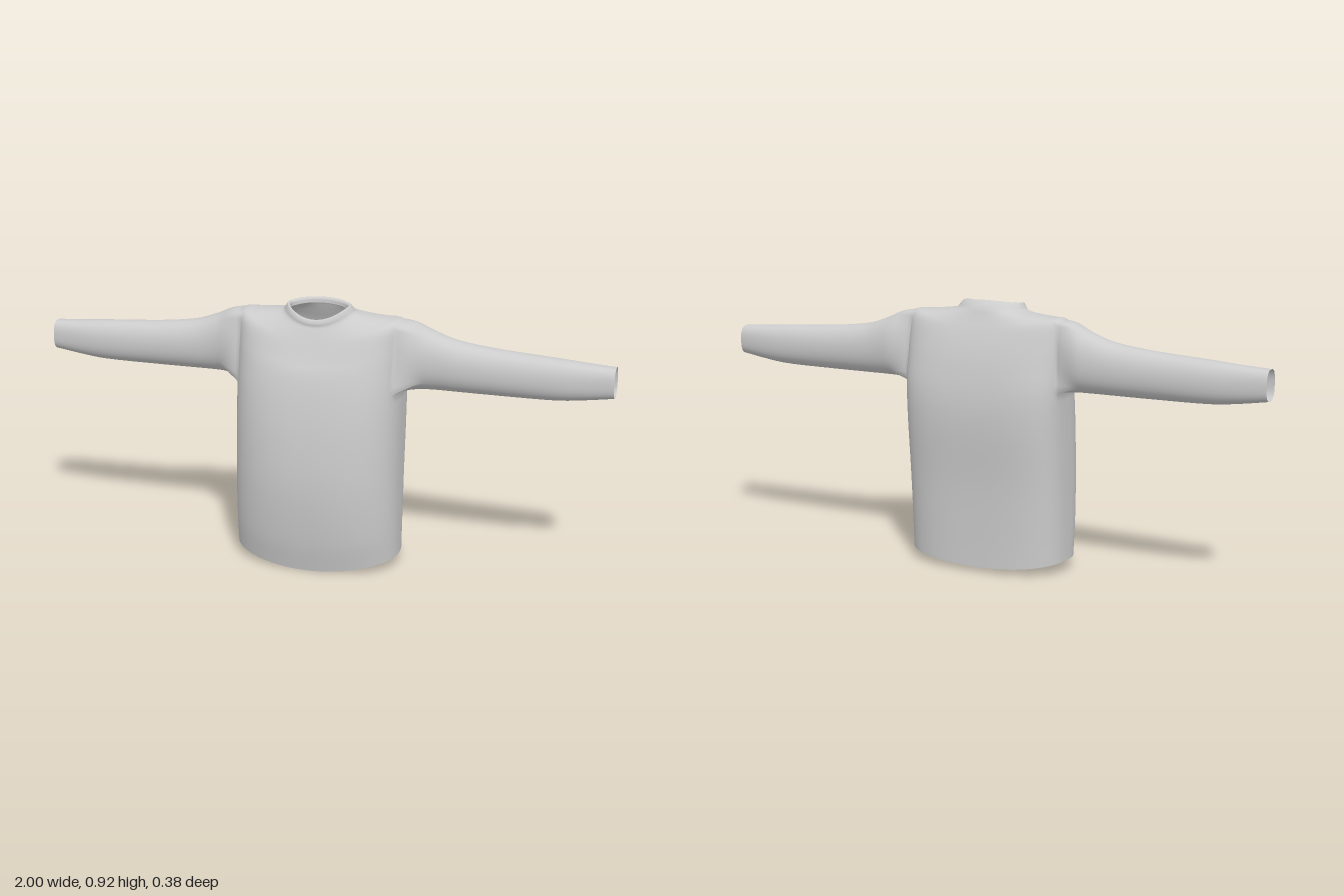
import * as THREE from 'three';

// Torso rings, hem to collar:
// [halfWidth, ySide, yFront, zFront, yBack, zBack, zSide, frontPower, backPower]
const TORSO = [
  [0.29, 0.04, 0.0, 0.15, 0.015, -0.167, 0, 2.3, 2.9],
  [0.29, 0.15, 0.12, 0.174, 0.12, -0.168, 0, 2.4, 3.1],
  [0.29, 0.32, 0.3, 0.19, 0.3, -0.173, -0.005, 2.4, 3.4],
  [0.29, 0.5, 0.47, 0.181, 0.49, -0.187, -0.02, 2.5, 3.5],
  [0.29, 0.63, 0.6, 0.161, 0.6, -0.185, -0.035, 2.6, 3.5], // underarm
  [0.29, 0.72, 0.69, 0.138, 0.7, -0.168, -0.042, 2.6, 3.2],
  [0.29, 0.8, 0.74, 0.114, 0.77, -0.148, -0.045, 2.6, 2.9],
  [0.285, 0.865, 0.785, 0.093, 0.82, -0.128, -0.045, 2.5, 2.6], // shoulder point
  [0.235, 0.873, 0.81, 0.081, 0.85, -0.114, -0.038, 2.4, 2.4],
  [0.175, 0.878, 0.832, 0.07, 0.872, -0.104, -0.025, 2.2, 2.3],
  [0.13, 0.885, 0.844, 0.064, 0.89, -0.096, -0.015, 2.2, 2.2], // collar base
  [0.117, 0.898, 0.855, 0.064, 0.906, -0.084, -0.01, 2.2, 2.2],
  [0.109, 0.909, 0.866, 0.059, 0.918, -0.068, -0.005, 2.2, 2.2], // collar rim
  [0.101, 0.905, 0.867, 0.053, 0.914, -0.058, -0.003, 2.2, 2.2],
  [0.1, 0.89, 0.857, 0.052, 0.9, -0.056, -0.003, 2.2, 2.2],
];
const ARM_LOW = 4, ARM_HIGH = 7; // torso keys that bound the armhole

// Sleeve sections: [x, yTop, yBottom, zFront, zBack, power]
const SLEEVE = [
  [0.29, 0.868, 0.63, 0.042, -0.132, 2.2],
  [0.34, 0.853, 0.632, 0.025, -0.126, 2.2],
  [0.4, 0.829, 0.633, 0.015, -0.121, 2.2],
  [0.47, 0.807, 0.633, 0.012, -0.117, 2.2],
  [0.6, 0.79, 0.633, 0.009, -0.112, 2.2],
  [0.8, 0.776, 0.635, 0.004, -0.105, 2.3],
  [0.9, 0.768, 0.645, -0.003, -0.098, 2.5],
  [1.0, 0.762, 0.66, -0.01, -0.088, 2.7],
];
const COLS = 96, SUB = 4, ARM_COLS = 7;

// Catmull-Rom interpolation through rows of keys
function sample(keys, t) {
  const last = keys.length - 1;
  const i = Math.min(Math.floor(t), last - 1), f = t - i;
  return keys[i].map((b, k) => {
    const c = keys[i + 1][k];
    const a = i > 0 ? keys[i - 1][k] : 2 * b - c;
    const d = i + 2 <= last ? keys[i + 2][k] : 2 * c - b;
    return b + 0.5 * f * (c - a + f * (2 * a - 5 * b + 4 * c - d + f * (3 * (b - c) + d - a)));
  });
}

// Point of a unit superellipse in the direction of an angle
function superPoint(angle, power) {
  const c = Math.cos(angle), s = Math.sin(angle);
  const r = Math.pow(Math.abs(c) ** power + Math.abs(s) ** power, -1 / power);
  return [c * r, s * r];
}

function torsoPoint(t, angle) {
  const [w, ySide, yFront, zFront, yBack, zBack, zSide, pFront, pBack] = sample(TORSO, t);
  const front = Math.sin(angle) >= 0;
  const [u, v] = superPoint(angle, front ? pFront : pBack);
  const yMid = front ? yFront : yBack, zMid = front ? zFront : zBack;
  return [u * w, ySide + (yMid - ySide) * (1 - u * u), zSide + (zMid - zSide) * Math.abs(v)];
}

function createSweaterGeometry() {
  const positions = [], indices = [];
  const add = (p) => positions.push(...p) / 3 - 1;
  const quad = (a, b, c, d) => indices.push(a, b, c, a, c, d);
  const rows = (TORSO.length - 1) * SUB;
  const low = ARM_LOW * SUB, high = ARM_HIGH * SUB;
  const at = (i, j) => i * COLS + ((j + COLS) % COLS);

  // Torso, shoulders and collar, leaving out both armholes
  for (let i = 0; i <= rows; i++) {
    for (let j = 0; j < COLS; j++) add(torsoPoint(i / SUB, (j / COLS) * Math.PI * 2));
  }
  const inArmhole = (i, j) => {
    const k = (j + ARM_COLS) % (COLS / 2);
    return i >= low && i < high && k < 2 * ARM_COLS;
  };
  for (let i = 0; i < rows; i++) {
    for (let j = 0; j < COLS; j++) {
      if (!inArmhole(i, j)) quad(at(i, j), at(i + 1, j), at(i + 1, j + 1), at(i, j + 1));
    }
  }

  // Sleeves grow out of the armhole edges
  for (const side of [1, -1]) {
    const mid = side > 0 ? 0 : COLS / 2;
    let loop = [];
    for (let i = low; i < high; i++) loop.push(at(i, mid - ARM_COLS));
    for (let j = -ARM_COLS; j < ARM_COLS; j++) loop.push(at(high, mid + j));
    for (let i = high; i > low; i--) loop.push(at(i, mid + ARM_COLS));
    for (let j = ARM_COLS; j > -ARM_COLS; j--) loop.push(at(low, mid + j));

    const edge = loop.map((n) => {
      const [x, y, z] = positions.slice(n * 3, n * 3 + 3);
      return { x: Math.abs(x), y, z, angle: Math.atan2((y - 0.748) / 0.118, (z + 0.045) / 0.085) };
    });
    const steps = (SLEEVE.length - 1) * 5;
    for (let s = 1; s <= steps; s++) {
      const [x, top, bottom, zFront, zBack, power] = sample(SLEEVE, s / 5);
      const w = THREE.MathUtils.smoothstep(x, 0.27, 0.37);
      const ring = edge.map((e) => {
        const [u, v] = superPoint(e.angle, power);
        const y = (top + bottom) / 2 + (v * (top - bottom)) / 2;
        const z = (zFront + zBack) / 2 + (u * (zFront - zBack)) / 2;
        return add([
          side * (x + (e.x - 0.29) * (1 - w)),
          THREE.MathUtils.lerp(e.y, y, w),
          THREE.MathUtils.lerp(e.z, z, w),
        ]);
      });
      loop.forEach((n, k) => {
        const m = (k + 1) % loop.length;
        quad(n, loop[m], ring[m], ring[k]);
      });
      loop = ring;
    }
  }

  const geometry = new THREE.BufferGeometry();
  geometry.setAttribute('position', new THREE.Float32BufferAttribute(positions, 3));
  geometry.setIndex(indices);
  geometry.computeVertexNormals();
  return geometry;
}

export function createModel() {
  const group = new THREE.Group();
  group.name = 'sweater';
  const material = new THREE.MeshStandardMaterial({ color: 0xcccccc, side: THREE.DoubleSide });
  const mesh = new THREE.Mesh(createSweaterGeometry(), material);
  mesh.name = 'knitBodyWithSleeves';
  group.add(mesh);
  return group;
}
